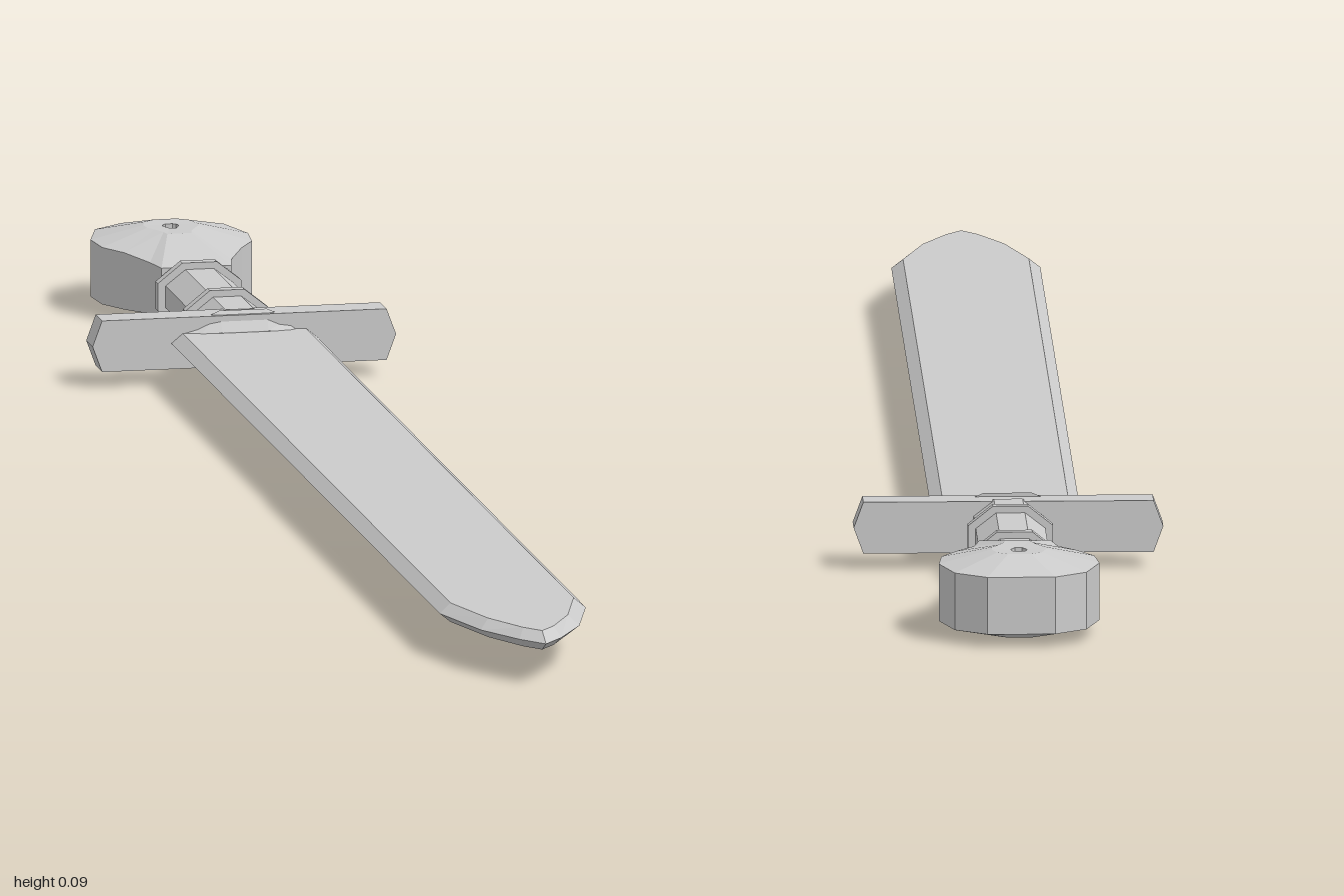
import * as THREE from 'three';

const MID = 0.044; // height of the sword's centre plane

// Closes half an outline (x >= 0) by mirroring it across x = 0
const mirrorX = (half) => [
  ...half,
  ...half.filter(([x]) => x > 0).reverse().map(([x, v]) => [-x, v]),
];

// Skins a stack of equal-length loops and caps both ends
function loft(loops) {
  const n = loops[0].length;
  const index = [];
  for (let i = 0; i < loops.length - 1; i++) {
    for (let j = 0; j < n; j++) {
      const k = (j + 1) % n;
      const a = i * n + j, b = i * n + k;
      index.push(a, b, b + n, a, b + n, a + n);
    }
  }
  const last = (loops.length - 1) * n;
  for (let j = 1; j < n - 1; j++) {
    index.push(0, j + 1, j, last, last + j, last + j + 1);
  }
  const geo = new THREE.BufferGeometry();
  geo.setAttribute('position', new THREE.Float32BufferAttribute(loops.flat(2), 3));
  geo.setIndex(index);
  const flat = geo.toNonIndexed();
  flat.computeVertexNormals();
  return flat;
}

export function createModel() {
  const sword = new THREE.Group();
  sword.name = 'sword';
  const material = new THREE.MeshStandardMaterial({ color: 0xcccccc, flatShading: true });
  const add = (name, geometry, z = 0) => {
    const mesh = new THREE.Mesh(geometry, material);
    mesh.name = name;
    mesh.position.set(0, MID, z);
    sword.add(mesh);
    return mesh;
  };

  // Blade: flat faces with bevelled cutting edges
  const edge = mirrorX([[0, 1], [0.022, 0.972], [0.052, 0.918], [0.077, 0.83], [0.077, -0.545]]);
  const face = mirrorX([[0, 0.98], [0.016, 0.96], [0.042, 0.908], [0.065, 0.826], [0.065, -0.545]]);
  const level = (pts, y) => pts.map(([x, z]) => [x, y, z]);
  add('blade', loft([level(face, -0.01), level(edge, 0), level(face, 0.01)]));

  // Lens-shaped collar where the blade enters the guard
  const upper = [[0.078, 0], [0.05, 0.02], [0.025, 0.031], [-0.025, 0.031], [-0.05, 0.02]];
  const lens = [...upper, ...upper.map(([x, y]) => [-x, -y])];
  add('bladeCollar', loft([
    lens.map(([x, y]) => [x, y, -0.548]),
    lens.map(([x, y]) => [x * 0.97, y * 0.35, -0.534]),
  ]));

  // Cross guard with pointed ends
  const guardShape = new THREE.Shape([
    [0.16, 0], [0.15, 0.027], [-0.15, 0.027], [-0.16, 0], [-0.15, -0.027], [0.15, -0.027],
  ].map(([x, y]) => new THREE.Vector2(x, y)));
  add('crossGuard', new THREE.ExtrudeGeometry(guardShape, { depth: 0.033, bevelEnabled: false }), -0.574);

  // Eight-sided grip and its two rings
  const prism = (halfWidth, halfHeight, length) => {
    const r = 1 / Math.cos(Math.PI / 8);
    return new THREE.CylinderGeometry(r, r, length, 8)
      .rotateY(Math.PI / 8).rotateX(Math.PI / 2).scale(halfWidth, halfHeight, 1);
  };
  add('grip', prism(0.036, 0.028, 0.25), -0.69);
  for (const [name, z] of [['frontRing', -0.635], ['rearRing', -0.775]]) {
    add(name, prism(0.044, 0.035, 0.012), z);
  }

  // Pommel: domed faceted disc with a flared neck and a small central pit
  const outline = mirrorX([
    [0.037, -0.785], [0.043, -0.815], [0.062, -0.855], [0.079, -0.885],
    [0.083, -0.925], [0.068, -0.975], [0.035, -1],
  ]);
  const centre = -0.918;
  const ring = (scale, y) => outline.map(([x, z]) => {
    const neck = scale === 1 && z > -0.83 ? 0.9 : 1;
    return [x * scale, y * neck, centre + (z - centre) * scale];
  });
  add('pommel', loft([
    ring(0.1, -0.03), ring(0.1, -0.043), ring(0.34, -0.044), ring(1, -0.03),
    ring(1, 0.03), ring(0.34, 0.044), ring(0.1, 0.043), ring(0.1, 0.03),
  ]));

  return sword;
}
